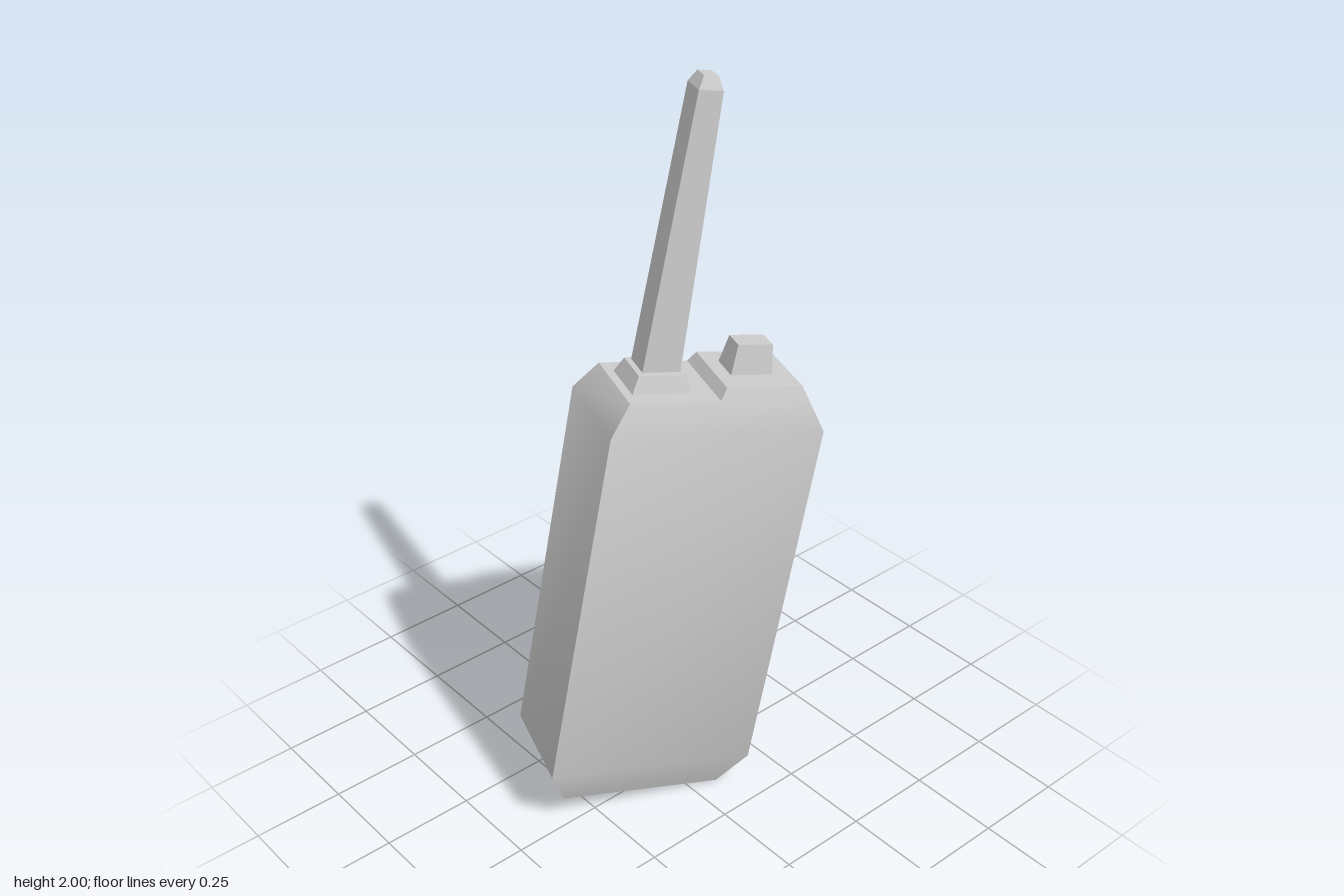
import * as THREE from 'three';
import { toCreasedNormals } from 'three/addons/utils/BufferGeometryUtils.js';

// Closed solid through rectangular sections [y, halfX, halfZ, centreX, centreZ]
function loft(sections) {
  const pos = [], idx = [];
  for (const [y, hx, hz, cx = 0, cz = 0] of sections) {
    for (const [sx, sz] of [[-1, 1], [1, 1], [1, -1], [-1, -1]]) pos.push(cx + sx * hx, y, cz + sz * hz);
  }
  for (let s = 0; s < sections.length - 1; s++) {
    for (let i = 0; i < 4; i++) {
      const a = s * 4 + i, b = s * 4 + (i + 1) % 4;
      idx.push(a, b, b + 4, a, b + 4, a + 4);
    }
  }
  const t = (sections.length - 1) * 4;
  idx.push(0, 2, 1, 0, 3, 2, t, t + 1, t + 2, t, t + 2, t + 3);
  const geo = new THREE.BufferGeometry();
  geo.setAttribute('position', new THREE.Float32BufferAttribute(pos, 3));
  geo.setIndex(idx);
  const flat = geo.toNonIndexed();
  flat.computeVertexNormals();
  return flat;
}

// Soft shoulders on the narrow sides, crisp bevels on the front and back
function softenSides(flat) {
  const geo = toCreasedNormals(flat, 0.6);
  const n = geo.attributes.normal, f = flat.attributes.normal;
  for (let i = 0; i < n.count; i++) {
    if (Math.abs(f.getZ(i)) > 0.7) n.setXYZ(i, f.getX(i), f.getY(i), f.getZ(i));
  }
  return geo;
}

export function createModel() {
  const model = new THREE.Group();
  model.name = 'handheldRadio';
  const radio = new THREE.Group();
  radio.name = 'tiltedRadio';
  const material = new THREE.MeshStandardMaterial({ color: 0xcccccc });

  const add = (name, geometry) => {
    const mesh = new THREE.Mesh(geometry, material);
    mesh.name = name;
    radio.add(mesh);
  };

  // Case with bevelled ends
  add('body', softenSides(loft([
    [-0.612, 0.225, 0.1],
    [-0.506, 0.285, 0.137],
    [0.506, 0.285, 0.137],
    [0.585, 0.238, 0.109],
  ])));

  // Raised half of the top, carrying the knob
  add('raisedDeck', loft([
    [0.585, 0.119, 0.109, 0.119],
    [0.615, 0.1025, 0.098, 0.1175],
  ]));

  // Antenna collar
  add('antennaBase', loft([
    [0.58, 0.08, 0.066, -0.137],
    [0.628, 0.063, 0.05, -0.137],
  ]));

  // Tapering antenna with a bevelled tip
  add('antenna', loft([
    [0.62, 0.05, 0.038, -0.135, -0.004],
    [1.323, 0.031, 0.033, -0.129, -0.02],
    [1.353, 0.018, 0.02, -0.129, -0.02],
  ]));

  // Control knob
  add('knob', loft([
    [0.61, 0.057, 0.04, 0.11, -0.006],
    [0.692, 0.047, 0.028, 0.11, -0.006],
  ]));

  // Leaning and turned pose
  radio.rotation.set(0, -0.333, -0.178, 'YXZ');
  radio.position.y = 0.645;
  model.add(radio);
  return model;
}
